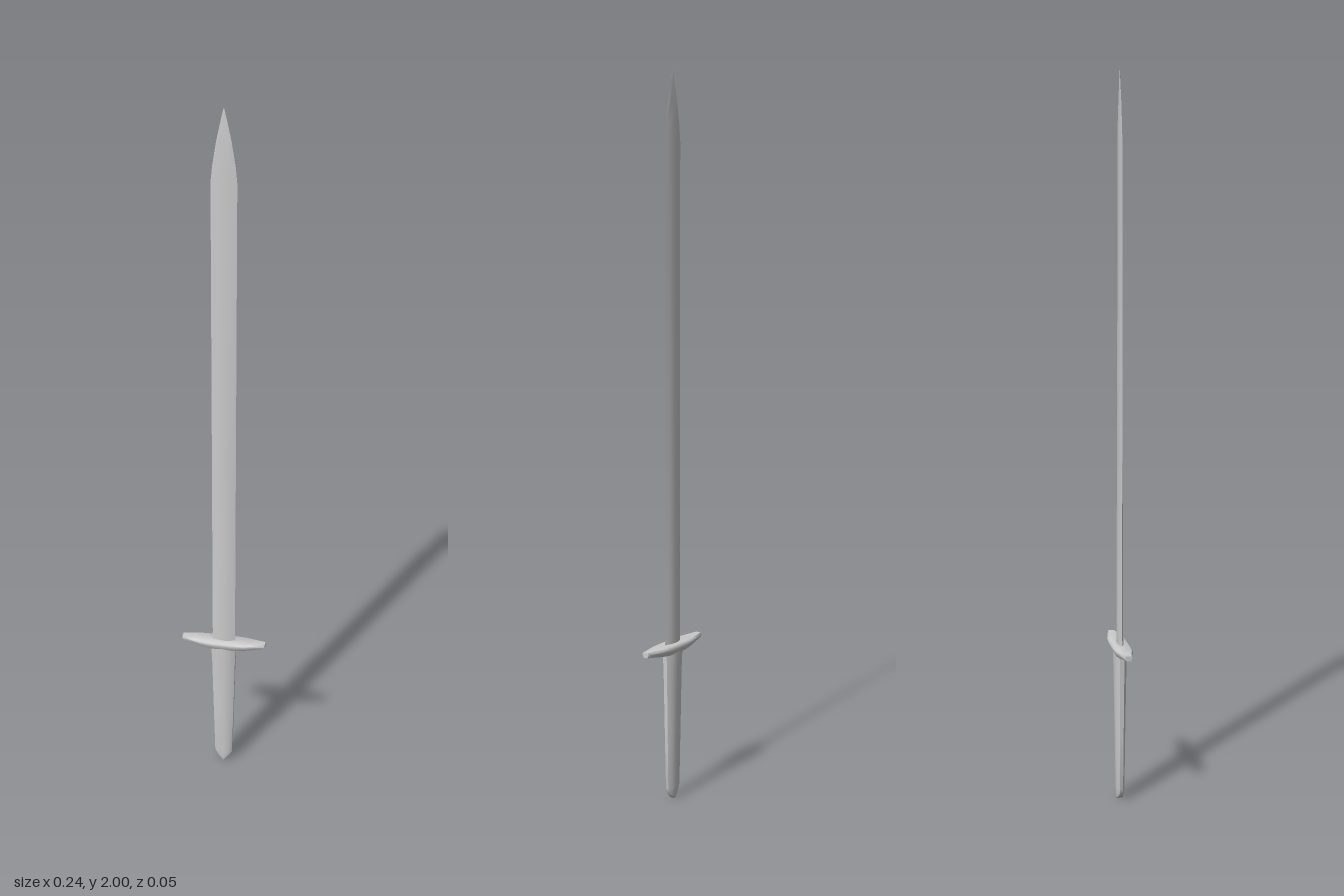
import * as THREE from 'three';
import { toCreasedNormals } from 'three/addons/utils/BufferGeometryUtils.js';

const material = new THREE.MeshStandardMaterial({ color: 0xcccccc });

// Skins a row of equal-sized rings, each counter-clockwise seen from the far end.
function loft(name, rings, crease) {
  const n = rings[0].length;
  const index = [];
  for (let i = 0; i < rings.length - 1; i++) {
    for (let j = 0; j < n; j++) {
      const k = (j + 1) % n;
      const a = i * n + j, b = i * n + k;
      index.push(a, b, b + n, a, b + n, a + n);
    }
  }
  // End caps
  const last = (rings.length - 1) * n;
  for (let j = 1; j < n - 1; j++) {
    index.push(0, j + 1, j, last, last + j, last + j + 1);
  }
  const geometry = new THREE.BufferGeometry();
  geometry.setAttribute('position', new THREE.Float32BufferAttribute(rings.flat(2), 3));
  geometry.setIndex(index);
  const mesh = new THREE.Mesh(toCreasedNormals(geometry, crease), material);
  mesh.name = name;
  return mesh;
}

// Rings stacked up y: each section is [height, half width, half depth].
const stack = (outline, sections) =>
  sections.map(([y, w, d]) => outline.map(([x, z]) => [x * w, y, z * d]));

export function createModel() {
  const group = new THREE.Group();
  group.name = 'sword';

  // Blade: sharp side edges, shallow central ridge, tapering to the point
  const bladeOutline = [[0, 1], [0.5, 0.78], [1, 0], [0.5, -0.78], [0, -1], [-0.5, -0.78], [-1, 0], [-0.5, 0.78]];
  group.add(loft('blade', stack(bladeOutline, [
    [0.44, 0.036, 0.009],
    [0.48, 0.033, 0.008],
    [1.0, 0.033, 0.006],
    [1.5, 0.033, 0.004],
    [1.82, 0.033, 0.0035],
    [1.86, 0.029, 0.003],
    [1.92, 0.019, 0.0025],
    [1.97, 0.008, 0.0015],
    [2.0, 0.0005, 0.0005],
  ]), 0.9));

  // Grip: faceted oval narrowing downwards to a wedge-shaped butt
  const gripOutline = [[0, 1], [0.6, 0.85], [1, 0.35], [1, -0.35], [0.6, -0.85], [0, -1], [-0.6, -0.85], [-1, -0.35], [-1, 0.35], [-0.6, 0.85]];
  group.add(loft('grip', stack(gripOutline, [
    [0, 0.001, 0.01],
    [0.014, 0.016, 0.011],
    [0.036, 0.026, 0.012],
    [0.2, 0.03, 0.014],
    [0.38, 0.034, 0.017],
    [0.44, 0.037, 0.019],
  ]), 0.7));

  // Crossguard: flat top, rising underside, narrowing to blunt ends
  const guardSections = [
    [0, 0.025, 0.429],
    [0.035, 0.025, 0.43],
    [0.065, 0.023, 0.434],
    [0.095, 0.016, 0.439],
    [0.122, 0.01, 0.443],
  ];
  const mirrored = guardSections.slice(1).reverse().map(([x, d, y]) => [-x, d, y]);
  const guardRings = [...mirrored, ...guardSections].map(([x, d, bottom]) => {
    const top = 0.457, middle = bottom + (top - bottom) * 0.55;
    return [
      [x, top, -d * 0.8], [x, top, d * 0.8], [x, top - 0.004, d], [x, middle, d],
      [x, bottom, d * 0.65], [x, bottom, -d * 0.65], [x, middle, -d], [x, top - 0.004, -d],
    ].reverse();
  });
  // Rings run counter-clockwise seen from +x
  group.add(loft('crossguard', guardRings.map((ring) => ring.reverse()), 0.9));

  return group;
}
